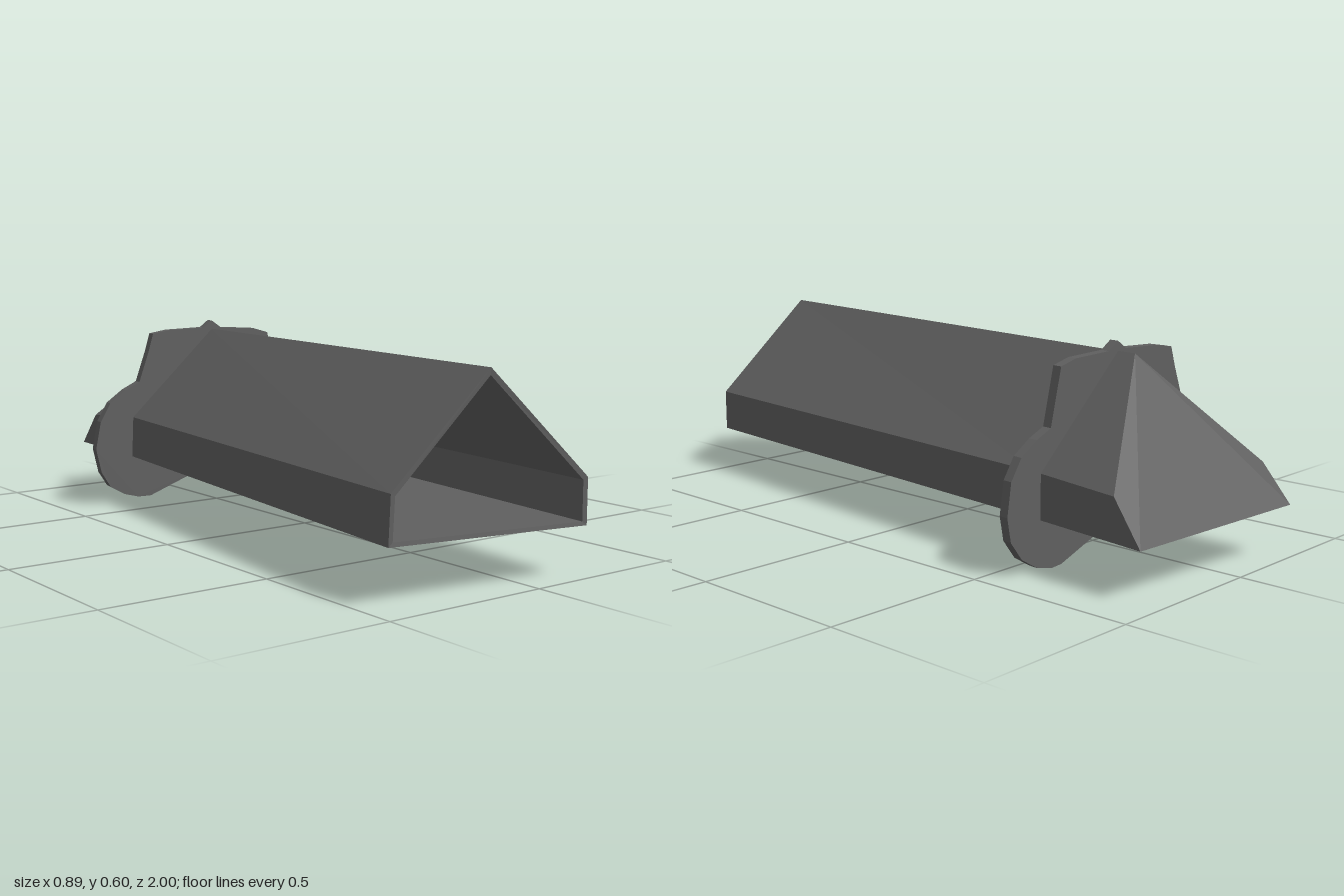
import * as THREE from 'three';

const dark = new THREE.MeshStandardMaterial({ color: 0x5f5f5f, flatShading: true });
const light = new THREE.MeshStandardMaterial({ color: 0xcccccc });
const red = new THREE.MeshStandardMaterial({ color: 0xcc2222 });

// Skin a list of five-sided rings; optionally close the first one
function loft(rings, capFirst) {
  const pos = [];
  const tri = (...pts) => pts.forEach((p) => pos.push(...p));
  for (let j = 0; j < rings.length - 1; j++) {
    const a = rings[j], b = rings[j + 1], n = a.length;
    for (let i = 0; i < n; i++) {
      const k = (i + 1) % n;
      tri(a[i], a[k], b[k]);
      tri(a[i], b[k], b[i]);
    }
  }
  if (capFirst) {
    const r = rings[0];
    for (let i = 1; i < r.length - 1; i++) tri(r[0], r[i + 1], r[i]);
  }
  const g = new THREE.BufferGeometry();
  g.setAttribute('position', new THREE.Float32BufferAttribute(pos, 3));
  g.computeVertexNormals();
  return g;
}

// Gabled cross-section: apex, left eave, left foot, right foot, right eave
const ring = (x0, x1, z, zApex, t = 0) => [
  [-0.022, 0.572 - t * 1.4, zApex],
  [x0 + 0.006 + t, 0.288 - t * 0.5, z],
  [x0 + t, 0.157 + t * 0.8, z],
  [x1 - t, 0.143 + t * 0.8, z],
  [x1 - t, 0.272 - t * 0.5, z],
];

export function createModel() {
  const root = new THREE.Group();
  const body = new THREE.Group();
  body.name = 'angledBody';
  body.rotation.y = -0.105;
  root.add(body);

  const add = (name, geo, mat, x = 0, y = 0, z = 0) => {
    const m = new THREE.Mesh(geo, mat);
    m.name = name;
    m.position.set(x, y, z);
    body.add(m);
    return m;
  };

  // Open gabled hood with a wall thickness
  add('hood', loft([
    ring(-0.324, 0.264, -0.59, -0.59),
    ring(-0.347, 0.281, 0.971, 0.942),
    ring(-0.347, 0.281, 0.969, 0.94, 0.014),
    ring(-0.324, 0.264, -0.59, -0.59, 0.014),
  ]), dark);

  // Closed tail with a sloping rear face
  add('tail', loft([
    [[-0.025, 0.572, -0.671], [-0.329, 0.262, -0.88], [-0.3385, 0.155, -0.972],
      [0.2645, 0.14, -0.972], [0.264, 0.262, -0.877]],
    ring(-0.324, 0.264, -0.59, -0.59),
  ], true), dark);

  // Lobed mounting plate
  const outline = [
    [0.04, 0.6], [0.01, 0.577], [-0.12, 0.573], [-0.178, 0.563], [-0.195, 0.505],
    [-0.23, 0.405], [-0.28, 0.38], [-0.335, 0.34], [-0.37, 0.28], [-0.388, 0.19],
    [-0.37, 0.11], [-0.34, 0.062], [-0.285, 0.03], [-0.24, 0.018], [-0.195, 0.018],
    [0.015, 0.1], [0.03, 0.1], [0.245, 0.005], [0.28, 0.001], [0.335, 0.012],
    [0.39, 0.045], [0.43, 0.1], [0.443, 0.17], [0.43, 0.265], [0.395, 0.325],
    [0.34, 0.365], [0.29, 0.39], [0.255, 0.552], [0.2, 0.568], [0.075, 0.575],
  ].map(([x, y]) => new THREE.Vector2(x * 1.0055 - 0.0625, y));
  add('mountingPlate', new THREE.ExtrudeGeometry(new THREE.Shape(outline),
    { depth: 0.03, bevelEnabled: false }), dark, 0, 0, -0.61);

  // Window panel and its frame on the plate
  add('window', new THREE.BoxGeometry(0.196, 0.09, 0.006), light, -0.03, 0.344, -0.578);
  for (const s of [-1, 1]) {
    add('windowFrameRail', new THREE.BoxGeometry(0.208, 0.006, 0.016), dark, -0.03, 0.344 + s * 0.047, -0.574);
    add('windowFramePost', new THREE.BoxGeometry(0.006, 0.1, 0.016), dark, -0.03 + s * 0.1, 0.344, -0.574);
  }

  // Low arched console inside, below the window
  const arch = new THREE.Shape();
  arch.moveTo(-0.302, 0.155);
  arch.lineTo(0.242, 0.155);
  arch.lineTo(0.242, 0.215);
  arch.bezierCurveTo(0.235, 0.265, 0.12, 0.283, -0.03, 0.283);
  arch.bezierCurveTo(-0.18, 0.283, -0.295, 0.265, -0.302, 0.215);
  add('console', new THREE.ExtrudeGeometry(arch,
    { depth: 0.04, bevelEnabled: false, curveSegments: 10 }), dark, 0, 0, -0.585);
  add('indicator', new THREE.SphereGeometry(0.004, 10, 8), red, -0.03, 0.283, -0.545);

  // Long thin panels along the inner side walls
  for (const s of [-1, 1]) {
    const p = add('sidePanel', new THREE.BoxGeometry(0.005, 0.075, 1.36), dark,
      -0.0285 + s * 0.291, 0.222, 0.22);
    p.rotation.y = s * 0.0128;
  }
  return root;
}
